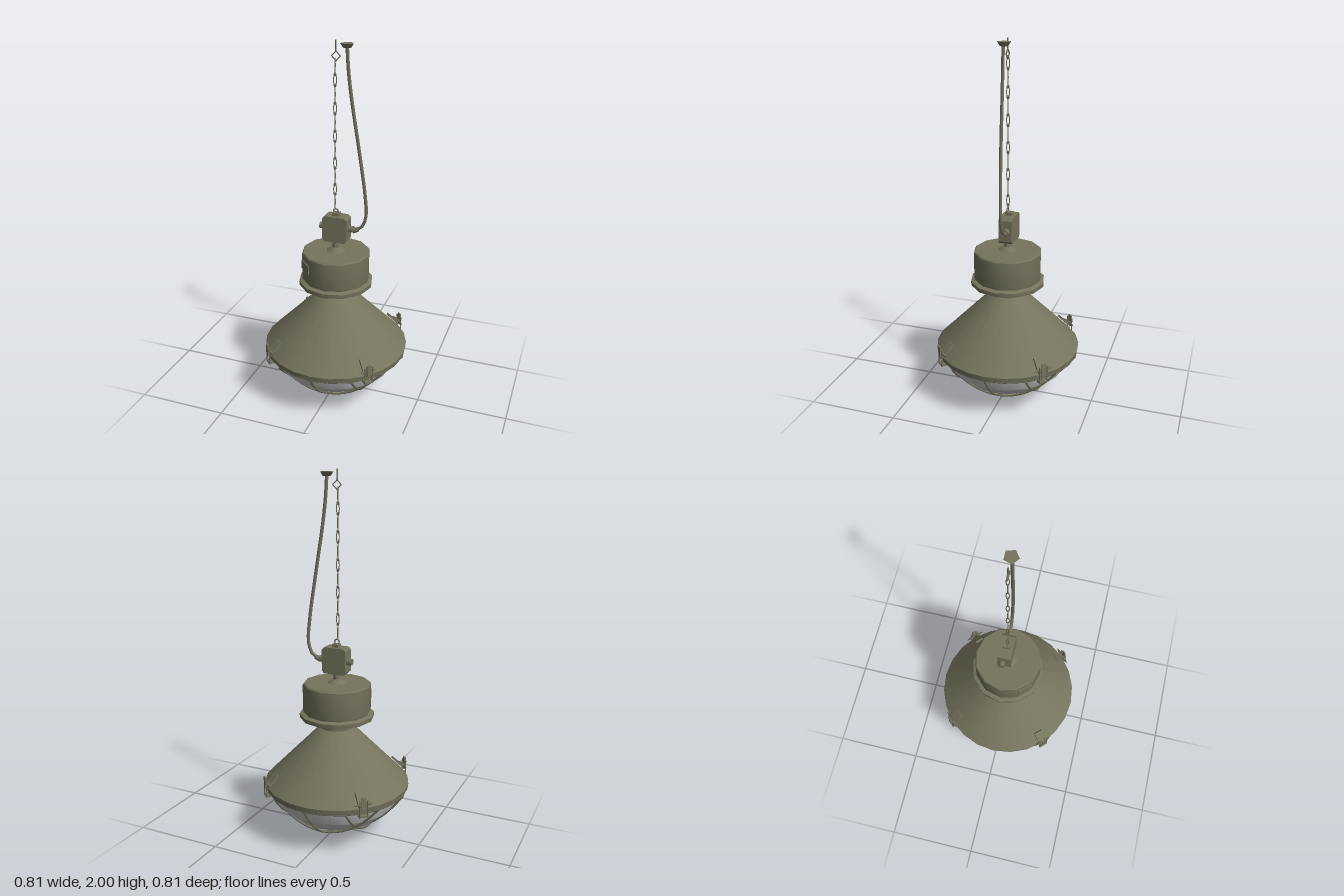
import * as THREE from 'three';
import { toCreasedNormals } from 'three/addons/utils/BufferGeometryUtils.js';

const olive = new THREE.MeshStandardMaterial({ color: 0x75745d });
olive.name = 'olive enamel';
const glass = new THREE.MeshStandardMaterial({ color: 0xc4c4c6, side: THREE.DoubleSide });
glass.name = 'frosted glass';

export function createModel() {
  const root = new THREE.Group();
  root.name = 'pendantLamp';

  const add = (name, geo, x = 0, y = 0, z = 0, parent = root, mat = olive) => {
    const m = new THREE.Mesh(geo, mat);
    m.name = name;
    m.position.set(x, y, z);
    parent.add(m);
    return m;
  };
  const lathe = (pts, sides) => toCreasedNormals(
    new THREE.LatheGeometry(pts.map(p => new THREE.Vector2(...p)), sides), 0.6);
  const tube = (pts, radius, steps, sides = 5) => new THREE.TubeGeometry(
    new THREE.CatmullRomCurve3(pts.map(p => new THREE.Vector3(...p))), steps, radius, sides);

  // Conical shade with a short rim, an underside lip and the neck
  add('shade', lathe([[0.34, 0.275], [0.4, 0.27], [0.405, 0.3], [0.095, 0.617], [0.095, 0.68]], 24));

  // Glass bowl
  add('glassBowl', lathe([[0, 0.025], [0.12, 0.045], [0.24, 0.1], [0.33, 0.18], [0.355, 0.275]], 20),
    0, 0, 0, root, glass);

  // Wire guard: a grid of bent wires following a bowl
  const guard = new THREE.Group();
  guard.name = 'wireGuard';
  root.add(guard);
  const R = 0.4;
  for (const off of [-0.21, 0, 0.21]) {
    const half = Math.sqrt(R * R - off * off);
    const pts = [];
    for (let i = -6; i <= 6; i++) {
      const s = half * i / 6;
      pts.push([s, 0.006 + 0.266 * Math.pow(Math.hypot(s, off) / R, 2.2), off]);
    }
    add('guardWireAcross', tube(pts, 0.006, 24), 0, 0, 0, guard);
    add('guardWireDeep', tube(pts.map(([a, b, c]) => [c, b, a]), 0.006, 24), 0, 0, 0, guard);
  }
  add('guardRing', new THREE.TorusGeometry(0.395, 0.007, 5, 24), 0, 0.272, 0, guard).rotation.x = Math.PI / 2;

  // Four toggle clips on the diagonals of the rim
  for (let i = 0; i < 4; i++) {
    const clip = new THREE.Group();
    clip.name = 'toggleClip';
    clip.rotation.y = Math.PI / 4 + i * Math.PI / 2;
    root.add(clip);
    const plate = add('clipPlate', new THREE.BoxGeometry(0.05, 0.012, 0.085), 0, 0.342, 0.378, clip);
    plate.rotation.x = 0.8;
    for (const s of [-1, 1]) {
      const ear = add('clipEar', new THREE.ConeGeometry(0.014, 0.05, 4), s * 0.035, 0.325, 0.405, clip);
      ear.rotation.z = -s * Math.PI / 2;
      add('clipWire', new THREE.CylinderGeometry(0.004, 0.004, 0.1, 5), s * 0.022, 0.305, 0.416, clip);
    }
    add('clipLever', new THREE.BoxGeometry(0.024, 0.07, 0.008), 0, 0.335, 0.418, clip);
    add('clipHook', new THREE.BoxGeometry(0.05, 0.01, 0.03), 0, 0.262, 0.405, clip);
  }

  // Gear housing with its flange, lid and nameplate
  add('flange', lathe([[0, 0.672], [0.205, 0.672], [0.207, 0.695], [0.18, 0.704]], 12));
  add('housing', lathe([[0.18, 0.69], [0.188, 0.72], [0.188, 0.86], [0.182, 0.868], [0, 0.868]], 12));
  add('topCone', lathe([[0.056, 0.866], [0.022, 0.89], [0.018, 0.93], [0, 0.93]], 8));
  const a = -Math.PI / 4;
  add('nameplate', new THREE.BoxGeometry(0.09, 0.05, 0.008),
    0.183 * Math.sin(a), 0.8, 0.183 * Math.cos(a)).rotation.y = a;

  // Suspension block with chamfered corners, side pins and eye
  const w = 0.07, h = 0.073, c = 0.014;
  const block = new THREE.Shape([[-w + c, -h], [w - c, -h], [w, -h + c], [w, h - c],
    [w - c, h], [-w + c, h], [-w, h - c], [-w, -h + c]].map(p => new THREE.Vector2(...p)));
  add('suspensionBlock', new THREE.ExtrudeGeometry(block, { depth: 0.075, bevelEnabled: false }), 0, 0.998, -0.045);
  for (const s of [-1, 1]) {
    add('sidePin', new THREE.CylinderGeometry(0.019, 0.019, 0.03, 8), s * 0.082, 0.998, -0.015).rotation.z = Math.PI / 2;
  }
  add('eyeBase', new THREE.BoxGeometry(0.036, 0.02, 0.036), 0, 1.078, -0.008);
  add('eye', new THREE.TorusGeometry(0.014, 0.004, 5, 8), 0, 1.098, 0);

  // Chain of alternating links up to a ceiling hook
  const chain = new THREE.Group();
  chain.name = 'chain';
  root.add(chain);
  for (let i = 0; i < 11; i++) {
    const link = add('chainLink', new THREE.TorusGeometry(0.008, 0.0025, 4, 8), -0.005, 1.15 + i * 0.0725, 0, chain);
    link.scale.y = 4;
    link.rotation.y = i % 2 ? 0.2 : Math.PI / 2 + 0.2;
  }
  add('ceilingHook', new THREE.TorusGeometry(0.024, 0.004, 5, 4), 0, 1.922, 0, chain);
  add('hookStem', new THREE.CylinderGeometry(0.004, 0.004, 0.056, 5), 0, 1.972, 0, chain);

  // Power cable with its ceiling cap and gland
  add('cable', tube([[0.06, 1.97, 0.004], [0.068, 1.85, 0.004], [0.085, 1.71, 0.002], [0.125, 1.45, -0.004],
    [0.158, 1.21, -0.012], [0.164, 1.08, -0.016], [0.138, 1.015, -0.015], [0.09, 0.992, -0.012]], 0.009, 32, 6));
  add('ceilingCap', new THREE.CylinderGeometry(0.037, 0.022, 0.022, 5), 0.06, 1.976, 0);
  add('cableGland', new THREE.CylinderGeometry(0.013, 0.016, 0.03, 6), 0.108, 0.998, -0.013).rotation.z = -Math.PI / 2 + 0.35;

  return root;
}
